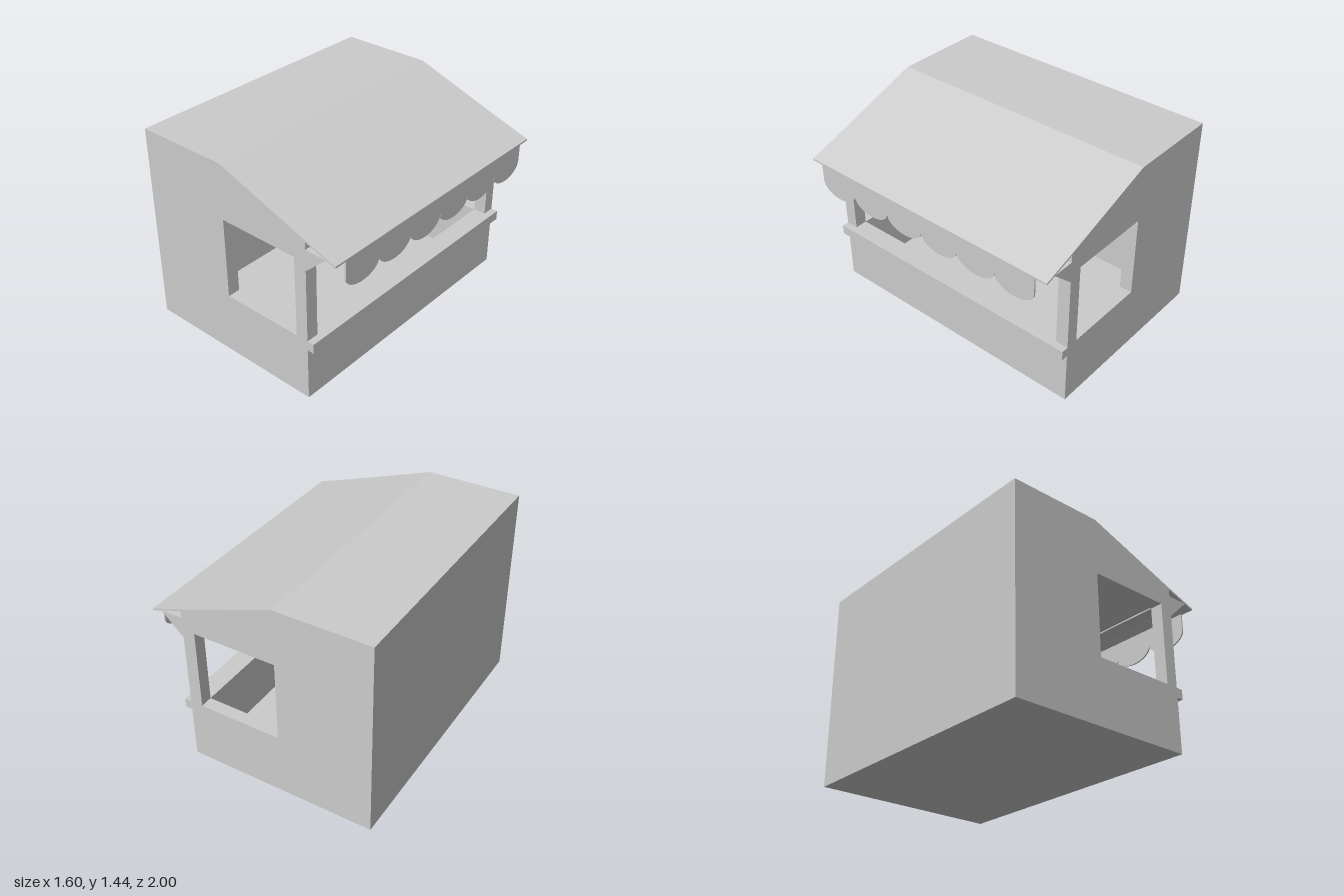
import * as THREE from 'three';

const material = new THREE.MeshStandardMaterial({ color: 0xcccccc, flatShading: true });

// Shape from a list of [x, y] corners
function polygon(points) {
  return new THREE.Shape(points.map(([x, y]) => new THREE.Vector2(x, y)));
}

export function createModel() {
  const group = new THREE.Group();
  group.name = 'marketKiosk';

  function add(name, geometry) {
    const mesh = new THREE.Mesh(geometry, material);
    mesh.name = name;
    group.add(mesh);
    return mesh;
  }

  // Extrude an x-y outline from z0 to z1
  function slab(name, shape, z0, z1) {
    const geometry = new THREE.ExtrudeGeometry(shape, { depth: z1 - z0, bevelEnabled: false, curveSegments: 16 });
    return add(name, geometry.translate(0, 0, z0));
  }

  function box(name, x0, x1, y0, y1, z0, z1) {
    const geometry = new THREE.BoxGeometry(x1 - x0, y1 - y0, z1 - z0);
    return add(name, geometry.translate((x0 + x1) / 2, (y0 + y1) / 2, (z0 + z1) / 2));
  }

  const back = -0.8, front = 0.57, wall = 0.09, inner = 1 - wall;
  const sill = 0.455, head = 1.04, ridgeX = -0.12, ridgeY = 1.44, eaveY = 1.195;

  // Side walls with a square window; each includes its front corner post
  const side = polygon([[back, 0], [front, 0], [front, eaveY], [ridgeX, ridgeY], [back, ridgeY]]);
  side.holes.push(polygon([[ridgeX, sill], [ridgeX, head], [front - wall, head], [front - wall, sill]]));
  slab('leftSideWall', side, inner, 1);
  slab('rightSideWall', side, -1, -inner);

  // Back wall, floor and low wall under the serving opening
  box('backWall', back, back + wall, 0, head + 0.02, -inner, inner);
  box('floor', back + wall, front - wall, 0, 0.04, -inner, inner);
  box('counterWall', front - wall, front, 0, sill, -inner, inner);

  // Roof body with a flat ceiling, and the lintel over the opening
  slab('roofBody', polygon([[back, head + 0.01], [front, head + 0.01], [front, eaveY],
    [ridgeX, ridgeY], [back, ridgeY]]), -inner, inner);
  box('lintel', front - wall, front, head, head + 0.01, -inner, inner);

  // Counter ledge
  box('counterLedge', front, 0.62, 0.385, sill, -1, 1);

  // Overhanging eave
  slab('eave', polygon([[front, eaveY - 0.013], [0.8, 1.105], [0.8, 1.118], [front, eaveY]]), -1, 1);

  // Triangular eave brackets above the posts
  const bracket = polygon([[front, 0.98], [0.73, 1.13], [front, 1.13]]);
  slab('leftBracket', bracket, inner, 1);
  slab('rightBracket', bracket, -1, -inner);

  // Scalloped valance hanging from the eave
  const scallops = 6, half = inner / scallops, notch = 0.985;
  const valance = new THREE.Shape();
  valance.moveTo(-inner, 1.112);
  valance.lineTo(-inner, notch);
  for (let i = 0; i < scallops; i++) {
    valance.absellipse(-inner + half * (2 * i + 1), notch, half, 0.093, Math.PI, 2 * Math.PI, false);
  }
  valance.lineTo(inner, 1.112);
  const valanceGeometry = new THREE.ExtrudeGeometry(valance, { depth: 0.01, bevelEnabled: false, curveSegments: 16 });
  add('valance', valanceGeometry.rotateY(Math.PI / 2).translate(0.79, 0, 0));

  return group;
}
